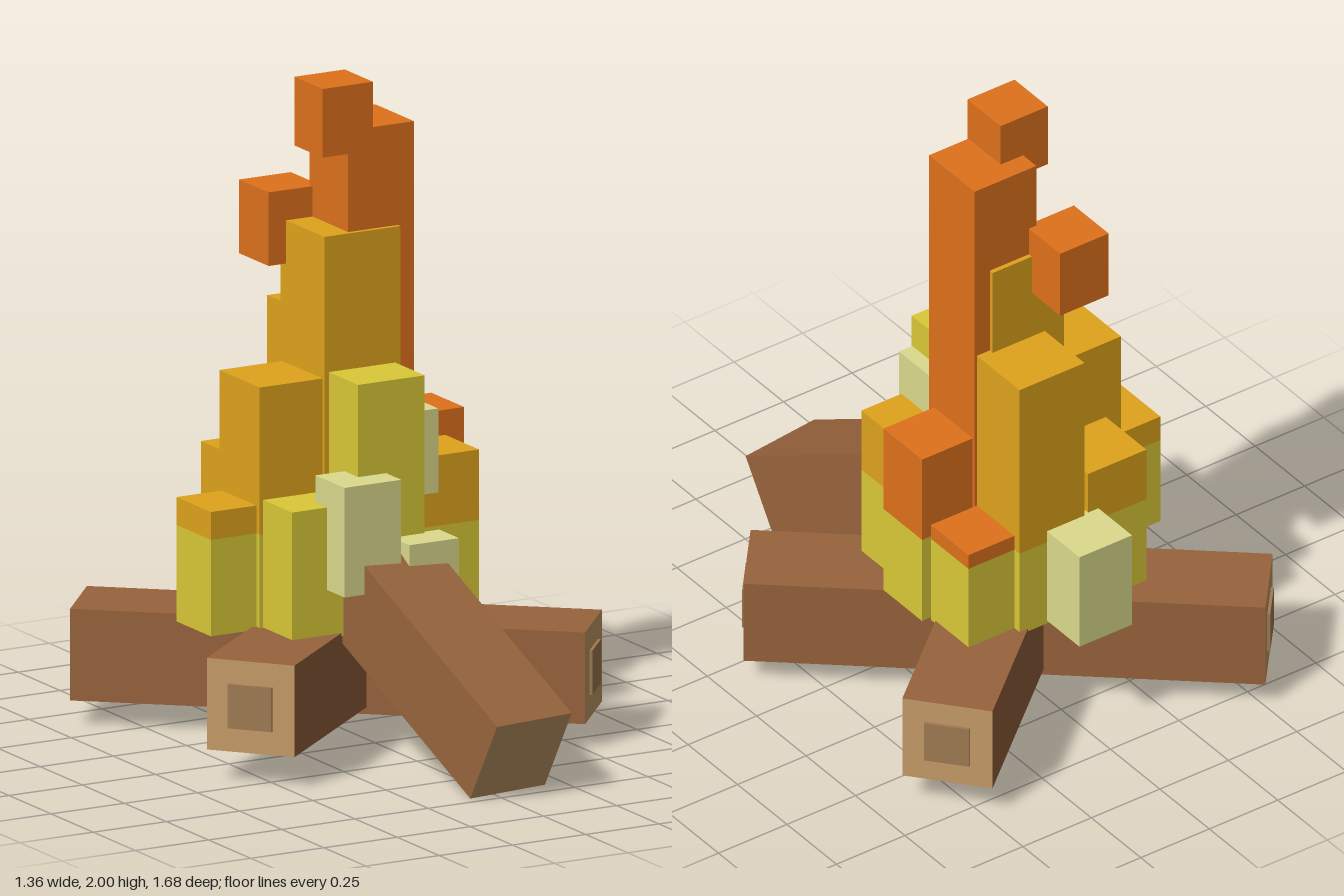
import * as THREE from 'three';

const mat = (color) => new THREE.MeshStandardMaterial({ color });

export function createModel() {
  const model = new THREE.Group();
  const bark = mat(0x98643d), cut = mat(0xc69b68), knot = mat(0xa07a52);
  const orange = mat(0xe0721c), amber = mat(0xdfa41c), yellow = mat(0xdbca37), pale = mat(0xdddb8d);

  // Log along z with pale cut ends
  function log(name, length) {
    const group = new THREE.Group();
    group.name = name;
    const body = new THREE.Mesh(new THREE.BoxGeometry(0.275, 0.28, length), [bark, bark, bark, bark, cut, cut]);
    body.name = name + 'Body';
    group.add(body);
    model.add(group);
    return group;
  }

  function plate(parent, name, w, h, x, y, z) {
    const mesh = new THREE.Mesh(new THREE.BoxGeometry(w, h, 0.012), knot);
    mesh.name = name;
    mesh.position.set(x, y, z);
    parent.add(mesh);
  }

  // Two crossed logs lying flat, with a square core on each end
  for (const [name, length, y, yaw] of [
    ['lowerLog', 1.55, 0.22, 0.867],
    ['upperLog', 1.485, 0.24, -0.869],
  ]) {
    const g = log(name, length);
    g.position.set(0, y, -0.232);
    g.rotation.y = yaw;
    for (const s of [-1, 1]) plate(g, 'endCore', 0.138, 0.135, 0, 0, s * (length / 2 + 0.003));
  }

  // Log leaning into the fire, with a small stub beneath
  const leanLength = 1.05, yaw = 0.117, tilt = 0.495;
  const lean = log('leaningLog', leanLength);
  lean.rotation.set(tilt, yaw, 0, 'YXZ');
  lean.position.set(0, 0, -leanLength / 2).applyEuler(lean.rotation)
    .add(new THREE.Vector3(0.06, 0.127, 0.762));
  plate(lean, 'barkStub', 0.1, 0.12, 0, -0.16, leanLength / 2 - 0.27);

  // Block from its bounds
  function block(name, material, x0, x1, y0, y1, z0, z1) {
    const mesh = new THREE.Mesh(new THREE.BoxGeometry(x1 - x0, y1 - y0, z1 - z0), material);
    mesh.name = name;
    mesh.position.set((x0 + x1) / 2, (y0 + y1) / 2, (z0 + z1) / 2);
    model.add(mesh);
  }

  // Flame columns: yellow base, hotter colour above [material, x0, x1, top, z0, z1]
  const base = 0.37, split = 0.665;
  for (const [material, x0, x1, top, z0, z1] of [
    [orange, -0.04, 0.185, 1.86, -0.32, -0.09],
    [orange, 0.185, 0.37, 0.957, -0.31, -0.115],
    [orange, 0.17, 0.345, 0.715, -0.51, -0.32],
    [amber, -0.13, 0.13, 1.55, -0.335, -0.075],
    [amber, -0.06, 0.177, 1.26, -0.536, -0.315],
    [amber, -0.345, -0.125, 1.115, -0.325, -0.085],
    [amber, -0.29, -0.077, 0.845, -0.53, -0.315],
    [amber, -0.5, -0.29, 0.75, -0.31, -0.105],
    [amber, 0.1, 0.306, 0.88, -0.115, 0.085],
    [yellow, -0.115, 0.112, 1.135, -0.08, 0.1],
    [yellow, -0.333, -0.13, 0.77, -0.1, 0.087],
  ]) {
    block('flameBase', yellow, x0, x1, base, split, z0, z1);
    block('flameColumn', material, x0, x1, split, top, z0, z1);
  }

  // Loose flame cubes
  block('topFlameCube', orange, -0.13, 0.042, 1.79, 2.0, -0.253, -0.085);
  block('backFlameCube', orange, -0.19, -0.013, 1.418, 1.643, -0.478, -0.302);

  // Pale hot cubes
  block('hotCube', pale, -0.214, -0.02, 0.518, 0.853, 0.018, 0.19);
  block('hotCube', pale, 0, 0.17, 0.473, 0.653, 0.035, 0.203);
  block('hotCube', pale, 0, 0.16, 0.77, 1.027, -0.063, 0.105 - 0.008);
  block('hotCube', pale, -0.115, 0.077, 0.38, 0.705, -0.7, -0.51);

  return model;
}
